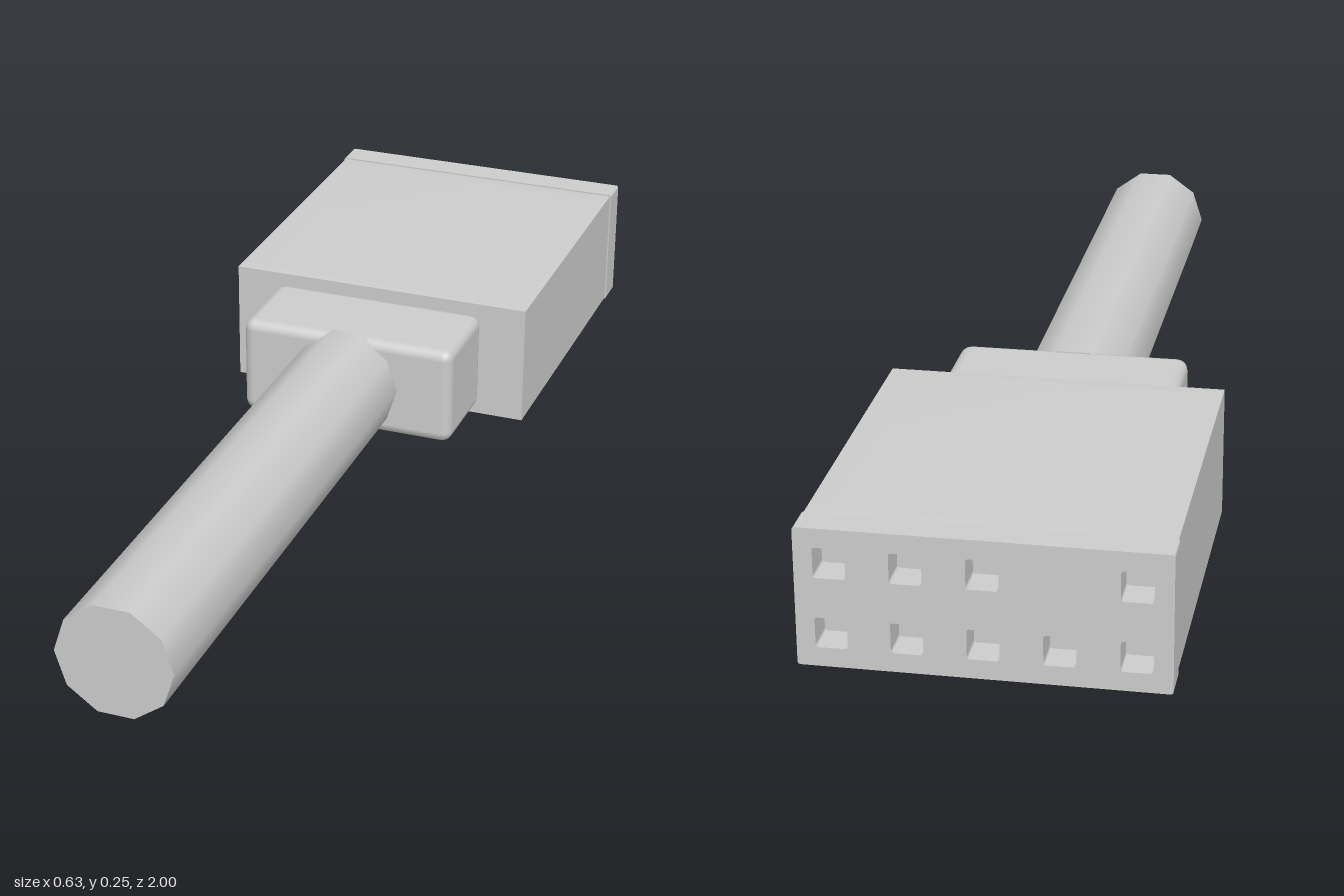
import * as THREE from 'three';
import { RoundedBoxGeometry } from 'three/addons/geometries/RoundedBoxGeometry.js';

const CENTER_Y = 0.127;
const PITCH = 0.128;

// Rectangle with slightly rounded corners, as a Shape or a Path
function roundedRect(target, cx, cy, w, h, r) {
  const x = w / 2 - r, y = h / 2 - r;
  target.absarc(cx + x, cy + y, r, 0, Math.PI / 2);
  target.absarc(cx - x, cy + y, r, Math.PI / 2, Math.PI);
  target.absarc(cx - x, cy - y, r, Math.PI, Math.PI * 1.5);
  target.absarc(cx + x, cy - y, r, Math.PI * 1.5, Math.PI * 2);
  target.closePath();
  return target;
}

// Housing block whose top is very slightly crowned around a flat panel
function housingGeometry() {
  const w = 0.626, h = 0.247, d = 0.64;
  const geo = new THREE.BoxGeometry(w, h, d, 3, 1, 3);
  const pos = geo.attributes.position;
  for (let i = 0; i < pos.count; i++) {
    const x = pos.getX(i), y = pos.getY(i), z = pos.getZ(i);
    const innerX = Math.abs(x) < w / 2 - 0.01, innerZ = Math.abs(z) < d / 2 - 0.01;
    if (innerX) pos.setX(i, Math.sign(x) * 0.26);
    if (innerZ) pos.setZ(i, Math.sign(z) * 0.285);
    if (y > 0 && innerX && innerZ) pos.setY(i, y + 0.003);
  }
  geo.computeVertexNormals();
  return geo;
}

// End plate with two rows of square sockets, one position left blank as a key
function socketPlateGeometry() {
  const shape = roundedRect(new THREE.Shape(), 0, CENTER_Y, 0.632, 0.253, 0.005);
  for (let row = 0; row < 2; row++) {
    for (let col = -2; col <= 2; col++) {
      if (row === 1 && col === -1) continue;
      const y = CENTER_Y + (row - 0.5) * PITCH;
      shape.holes.push(roundedRect(new THREE.Path(), col * PITCH, y, 0.055, 0.055, 0.005));
    }
  }
  return new THREE.ExtrudeGeometry(shape, { depth: 0.06, bevelEnabled: false, curveSegments: 2 });
}

export function createModel() {
  const model = new THREE.Group();
  model.name = 'cableConnector';
  const material = new THREE.MeshStandardMaterial({ color: 0xcccccc });

  const add = (name, geometry, x, y, z) => {
    const mesh = new THREE.Mesh(geometry, material);
    mesh.name = name;
    mesh.position.set(x, y, z);
    model.add(mesh);
    return mesh;
  };

  // Connector block; its rear wall closes the sockets
  add('housing', housingGeometry(), 0, CENTER_Y, -0.62);
  add('socketPlate', socketPlateGeometry(), 0, 0, -1);

  // Strain relief between block and cable
  add('strainRelief', new RoundedBoxGeometry(0.444, 0.203, 0.2, 2, 0.022), 0, 0.129, -0.2);

  // Ten-sided cable with smooth sides
  const cable = new THREE.CylinderGeometry(0.11, 0.11, 1.12, 10);
  cable.rotateY(Math.PI / 2);
  cable.rotateX(Math.PI / 2);
  add('cable', cable, 0, 0.128, 0.44);

  return model;
}
